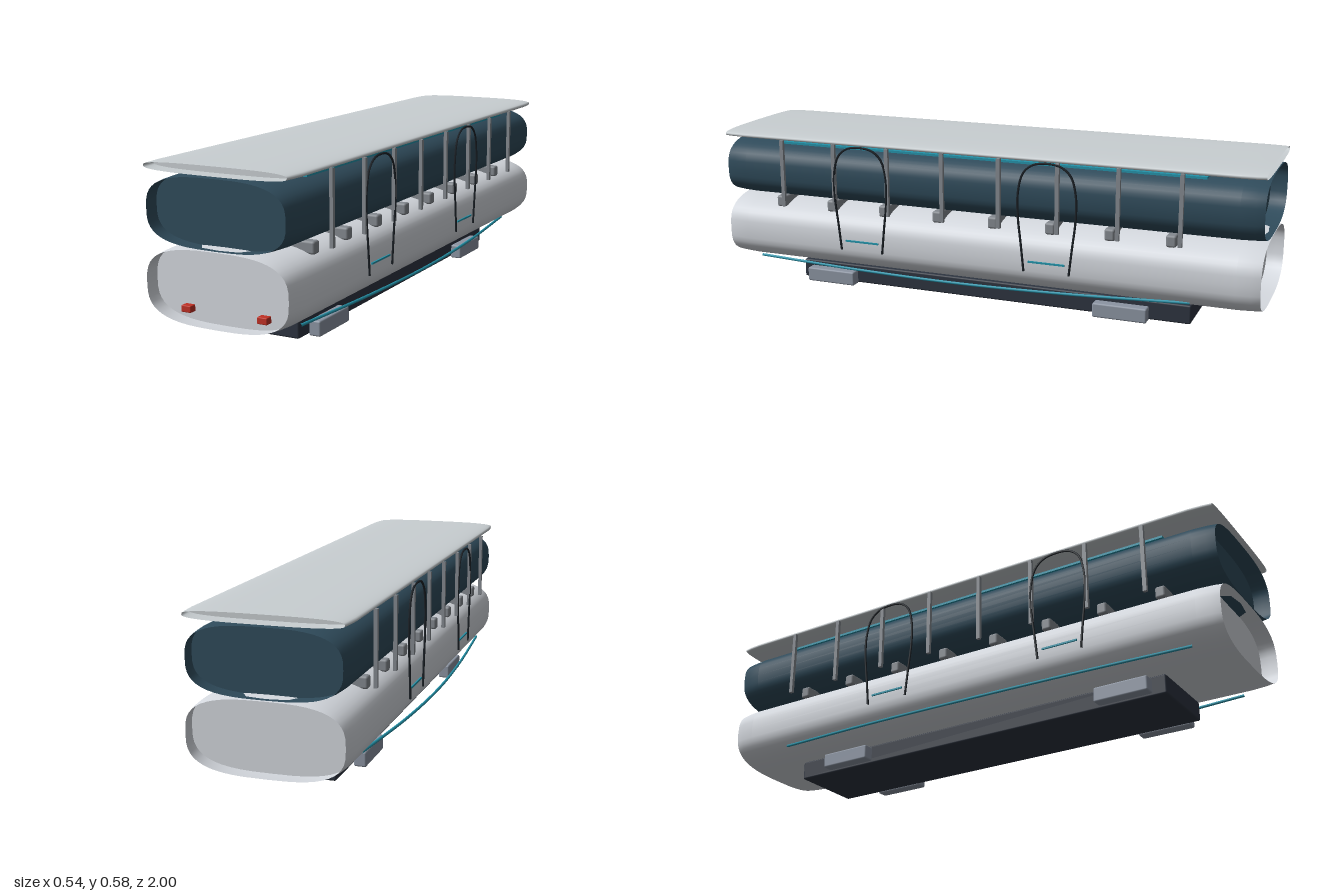
import * as THREE from 'three';
import { RoundedBoxGeometry } from 'three/addons/geometries/RoundedBoxGeometry.js';

const mat = (color, side = THREE.FrontSide) => new THREE.MeshStandardMaterial({ color, side });
const SEG = 48;

// Rounded-oval cross-section (superellipse, exponent 3)
function oval(hw, hh) {
  const p = (v) => Math.sign(v) * Math.abs(v) ** (2 / 3);
  return Array.from({ length: SEG }, (_, i) => {
    const a = (i / SEG) * Math.PI * 2;
    return new THREE.Vector2(hw * p(Math.cos(a)), hh * p(Math.sin(a)));
  });
}

// Open sleeve along z, narrowing slightly at both ends
function sleeve(hw, hh) {
  const stations = [[-1, 0.965], [-0.97, 0.985], [-0.92, 1], [0.92, 1], [0.97, 0.985], [1, 0.965]];
  const ring = oval(hw, hh), pos = [], idx = [];
  stations.forEach(([z, s], k) => {
    ring.forEach((p, i) => {
      pos.push(p.x * s, p.y * s, z);
      if (k === stations.length - 1) return;
      const a = k * SEG + i, b = k * SEG + (i + 1) % SEG;
      idx.push(a, b, a + SEG, b, b + SEG, a + SEG);
    });
  });
  const g = new THREE.BufferGeometry();
  g.setAttribute('position', new THREE.Float32BufferAttribute(pos, 3));
  g.setIndex(idx);
  g.computeVertexNormals();
  return g;
}

export function createModel() {
  const root = new THREE.Group();
  root.name = 'tram';
  const shellMat = mat(0xd5d9df, THREE.DoubleSide);
  const glassMat = mat(0x2f4b5b, THREE.DoubleSide);
  const roofMat = mat(0xc9cfd2, THREE.DoubleSide);
  const darkMat = mat(0x2d3440), blackMat = mat(0x1c2228);
  const greyMat = mat(0x8c95a3), postMat = mat(0x858a90);
  const tealMat = mat(0x2494ab), redMat = mat(0xc03024);

  function add(name, geometry, material, x = 0, y = 0, z = 0) {
    const m = new THREE.Mesh(geometry, material);
    m.name = name;
    m.position.set(x, y, z);
    root.add(m);
    return m;
  }
  const rbox = (w, h, d, r) => new RoundedBoxGeometry(w, h, d, 2, r);

  // Sleeves with end panels set back inside the rims
  function hull(name, hw, hh, y, material) {
    add(name, sleeve(hw, hh), material, 0, y);
    const panel = new THREE.ShapeGeometry(new THREE.Shape(oval(hw * 0.99, hh * 0.99)));
    add(name + 'FrontPanel', panel, material, 0, y, 0.94);
    add(name + 'BackPanel', panel, material, 0, y, -0.94).rotation.y = Math.PI;
  }
  hull('lowerBody', 0.262, 0.124, 0.199, shellMat);
  hull('windowBand', 0.255, 0.113, 0.431, glassMat);
  hull('roof', 0.261, 0.016, 0.562, roofMat);

  // Underframe
  add('chassis', rbox(0.274, 0.068, 1.506, 0.006), darkMat, 0, 0.034, 0);
  add('chassisMount', new THREE.BoxGeometry(0.2, 0.02, 1.06), darkMat, 0, 0.072, 0);
  add('ceilingLight', new THREE.BoxGeometry(0.4, 0.008, 1.6), tealMat, 0, 0.534, 0);

  // Seats across the cabin
  for (let i = 0; i < 8; i++) {
    add('seat', rbox(0.455, 0.042, 0.036, 0.008), postMat, 0, 0.315, 0.79 - i * 0.212);
  }

  for (const s of [1, -1]) {
    add('tailLight', rbox(0.035, 0.022, 0.03, 0.003), redMat, s * 0.137, 0.118, 0.95);

    // Window posts
    for (let i = 0; i < 8; i++) {
      add('windowPost', new THREE.BoxGeometry(0.012, 0.247, 0.014), postMat, s * 0.261, 0.433, 0.755 - i * 0.2125);
    }

    // Bogie covers
    for (const z of [0.613, -0.513]) {
      add('bogieCover', rbox(0.042, 0.052, 0.194, 0.006), greyMat, s * 0.169, 0.028, z);
    }

    // Door arches with sills
    for (const z of [0.436, -0.272]) {
      const half = [[0.082, 0.167], [0.092, 0.26], [0.104, 0.37], [0.103, 0.45], [0.085, 0.515], [0.05, 0.545]];
      const pts = [
        ...half.map(([d, y]) => new THREE.Vector3(s * 0.266, y, z + d)),
        new THREE.Vector3(s * 0.266, 0.553, z),
        ...half.slice().reverse().map(([d, y]) => new THREE.Vector3(s * 0.266, y, z - d)),
      ];
      add('doorArch', new THREE.TubeGeometry(new THREE.CatmullRomCurve3(pts), 64, 0.004, 6), blackMat);
      add('doorSill', new THREE.BoxGeometry(0.01, 0.006, 0.132), tealMat, s * 0.262, 0.202, z);
    }

    // Bowed side rail
    const rail = new THREE.CatmullRomCurve3([
      [0.222, 0.095, 0.885], [0.251, 0.091, 0.45], [0.263, 0.091, 0.05], [0.254, 0.098, -0.35], [0.224, 0.109, -0.765],
    ].map(([x, y, z]) => new THREE.Vector3(s * x, y, z)));
    add('sideRail', new THREE.TubeGeometry(rail, 48, 0.005, 8), tealMat);
  }
  return root;
}
